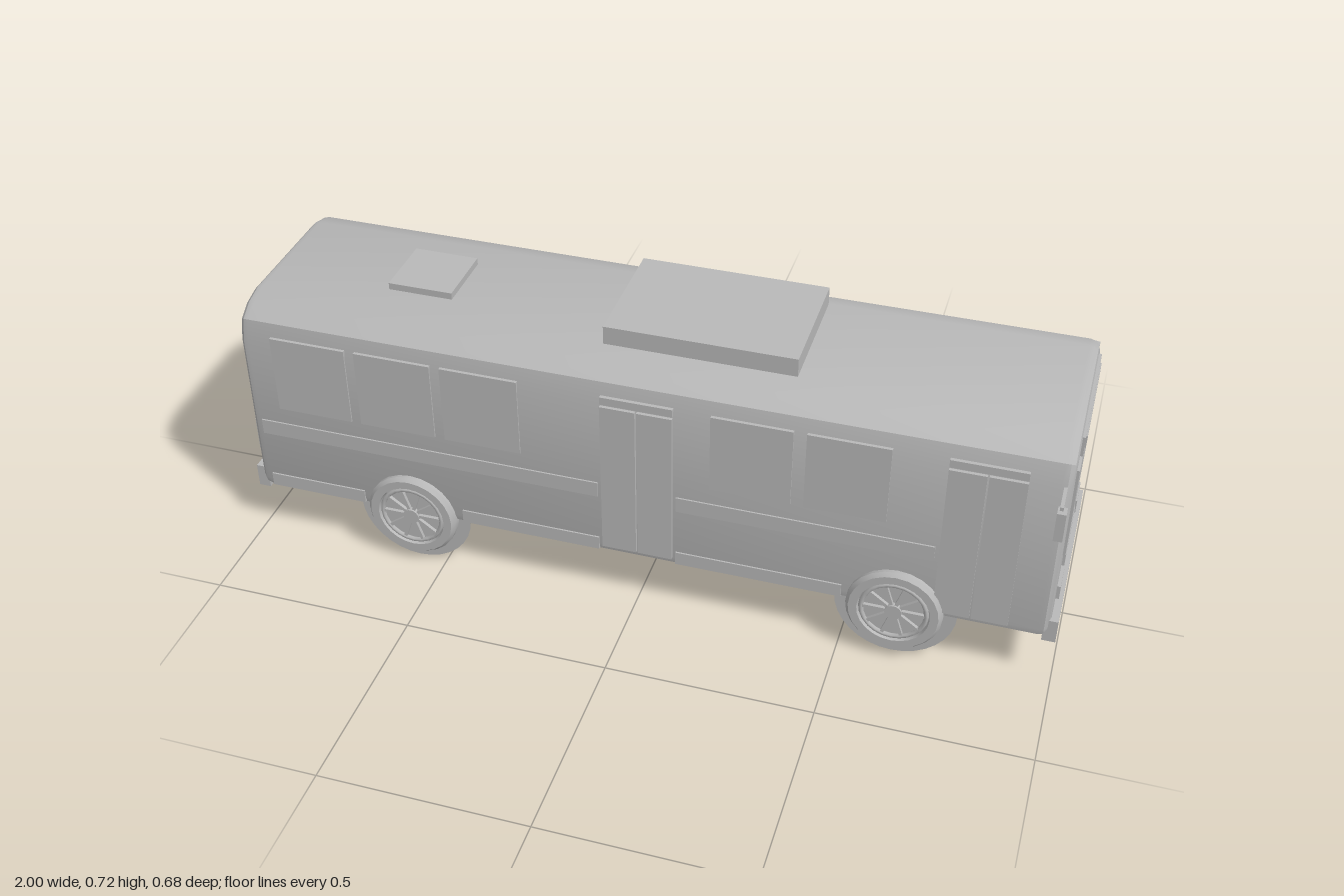
import * as THREE from 'three';
import { toCreasedNormals } from 'three/addons/utils/BufferGeometryUtils.js';

const grey = new THREE.MeshStandardMaterial({ color: 0xb8b8b8 });
grey.name = 'plain grey';
const greyThin = grey.clone();
greyThin.name = 'plain grey two sided';
greyThin.side = THREE.DoubleSide;

const SIDE = 0.26; // half width of the body

export function createModel() {
  const bus = new THREE.Group();
  bus.name = 'bus';

  const add = (parent, name, geometry, material = grey) => {
    const mesh = new THREE.Mesh(geometry, material);
    mesh.name = name;
    parent.add(mesh);
    return mesh;
  };
  // Box given by its limits on each axis
  const box = (name, x0, x1, y0, y1, z0, z1) => {
    const mesh = add(bus, name, new THREE.BoxGeometry(x1 - x0, y1 - y0, z1 - z0));
    mesh.position.set((x0 + x1) / 2, (y0 + y1) / 2, (z0 + z1) / 2);
    return mesh;
  };
  // Thin plate on one long side (s = 1 door side, s = -1 window side)
  const sidePlate = (name, s, x0, x1, y0, y1, out = 0.004) => {
    const a = s * (SIDE - 0.004), b = s * (SIDE + out);
    return box(name, x0, x1, y0, y1, Math.min(a, b), Math.max(a, b));
  };

  // Body: faceted roof section extruded along the length, with rounded ends
  const half = [[0.245, 0.14], [0.255, 0.147], [SIDE, 0.165], [SIDE, 0.575],
    [0.246, 0.63], [0.207, 0.657], [0.158, 0.67]];
  const outline = [...half, ...half.map(([z, y]) => [-z, y]).reverse()];
  const bevel = 0.025;
  const section = new THREE.Shape(outline.map(([z, y]) => new THREE.Vector2(z, y)));
  const body = new THREE.ExtrudeGeometry(section, {
    depth: 1.965 - 2 * bevel, bevelEnabled: true, bevelSize: bevel,
    bevelThickness: bevel, bevelOffset: -bevel, bevelSegments: 3,
  });
  body.translate(0, 0, bevel - 0.985);
  body.rotateY(Math.PI / 2);
  add(bus, 'body', toCreasedNormals(body, 0.5));

  // Roof equipment
  box('roofUnit', -0.105, 0.35, 0.66, 0.716, -0.155, 0.155);
  box('roofHatch', -0.665, -0.505, 0.66, 0.687, -0.083, 0.083);

  // Bumpers
  box('frontBumper', 0.965, 0.997, 0.127, 0.188, -0.249, 0.249);
  box('rearBumper', -1, -0.97, 0.127, 0.188, -0.249, 0.249);

  // Front face
  box('windshield', 0.976, 0.986, 0.35, 0.587, -0.207, 0.207);
  box('signFrame', 0.974, 0.986, 0.597, 0.647, -0.166, 0.166);
  box('signPanel', 0.985, 0.989, 0.607, 0.637, -0.145, 0.145);
  box('grille', 0.976, 0.986, 0.205, 0.258, -0.093, 0.093);
  // Rear face
  box('rearWindow', -0.992, -0.98, 0.44, 0.595, -0.19, 0.19);

  for (const s of [1, -1]) {
    const a = s * 0.123, b = s * 0.199;
    box('headlight', 0.976, 0.988, 0.214, 0.25, Math.min(a, b), Math.max(a, b));
    const c = s * 0.16, d = s * 0.23;
    box('tailLight', -0.994, -0.98, 0.23, 0.32, Math.min(c, d), Math.max(c, d));

    // Mirrors
    const arm = [s * 0.25, s * 0.328].sort((p, q) => p - q);
    box('mirrorArm', 0.96, 0.968, 0.567, 0.576, ...arm);
    const head = [s * 0.314, s * 0.34].sort((p, q) => p - q);
    box('mirror', 0.956, 0.976, 0.493, 0.567, ...head);
  }

  // Side windows
  const windowY = [0.395, 0.598];
  sidePlate('sideWindow', -1, 0.747, 0.92, ...windowY);
  for (let i = 0; i < 7; i++) {
    const x = 0.435 - i * 0.217;
    sidePlate('sideWindow', -1, x, x + 0.19, ...windowY);
  }
  for (const x of [-0.9, -0.685, -0.47, 0.18, 0.4]) {
    sidePlate('sideWindow', 1, x, x + 0.19, ...windowY);
  }

  // Doors: two leaves and a header each
  for (const x of [-0.08, 0.715]) {
    sidePlate('doorLeaf', 1, x, x + 0.084, 0.165, 0.575, 0.008);
    sidePlate('doorLeaf', 1, x + 0.088, x + 0.172, 0.165, 0.575, 0.008);
    sidePlate('doorHeader', 1, x, x + 0.172, 0.58, 0.6, 0.005);
  }

  // Belt rails and skirt strips
  const belt = [0.31, 0.35], skirt = [0.15, 0.185];
  sidePlate('beltRail', -1, -0.955, 0.95, ...belt);
  sidePlate('beltRail', 1, -0.955, -0.09, ...belt);
  sidePlate('beltRail', 1, 0.1, 0.705, ...belt);
  const skirts = [[-1, -0.95, -0.7], [-1, -0.44, 0.5], [-1, 0.76, 0.95],
    [1, -0.95, -0.7], [1, -0.44, -0.09], [1, 0.1, 0.5]];
  for (const [s, x0, x1] of skirts) sidePlate('skirtStrip', s, x0, x1, ...skirt);

  // Wheels, built with the outer face toward +z
  const v = (r, z) => new THREE.Vector2(r, z);
  const tyreProfile = [v(0.084, -0.04), v(0.105, -0.04), v(0.114, -0.03), v(0.114, 0.03),
    v(0.106, 0.04), v(0.086, 0.04), v(0.082, 0.028)];
  const tyreGeometry = toCreasedNormals(
    new THREE.LatheGeometry(tyreProfile, 24).rotateX(Math.PI / 2), 0.5);
  const disc = (r, depth) => new THREE.CylinderGeometry(r, r, depth, 24).rotateX(Math.PI / 2);

  const makeWheel = () => {
    const wheel = new THREE.Group();
    wheel.name = 'wheel';
    add(wheel, 'tyre', tyreGeometry, greyThin);
    add(wheel, 'rimDisc', disc(0.084, 0.05)).position.z = 0.002;
    add(wheel, 'rimRing', new THREE.TorusGeometry(0.077, 0.006, 6, 24)).position.z = 0.032;
    add(wheel, 'hub', disc(0.02, 0.014)).position.z = 0.033;
    for (let i = 0; i < 10; i++) {
      const spoke = new THREE.BoxGeometry(0.06, 0.008, 0.009);
      spoke.translate(0.046, 0, 0.031);
      spoke.rotateZ((i / 10) * Math.PI * 2);
      add(wheel, 'spoke', spoke);
    }
    // Flat arch ring behind the tyre
    add(wheel, 'archRing', new THREE.RingGeometry(0.1, 0.145, 32), greyThin).position.z = 0.008;
    return wheel;
  };
  for (const x of [-0.573, 0.627]) {
    for (const s of [1, -1]) {
      const wheel = makeWheel();
      wheel.position.set(x, 0.145, s * 0.238);
      if (s < 0) wheel.rotation.y = Math.PI;
      bus.add(wheel);
    }
  }

  return bus;
}
